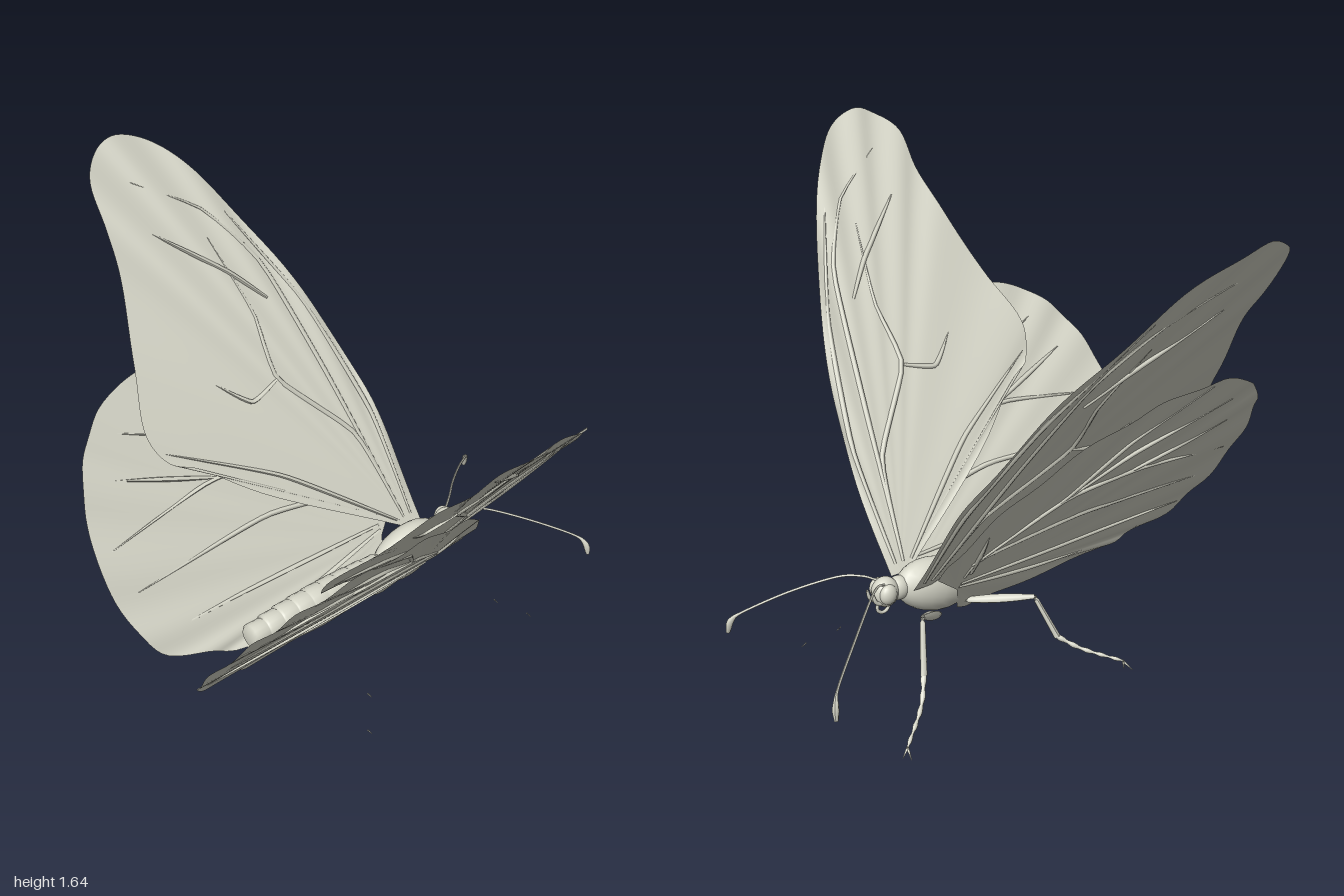
import * as THREE from 'three';

const shell = new THREE.MeshStandardMaterial({ color: 0xd8d8ca, side: THREE.DoubleSide });
shell.name = 'pale stone';

const vec = (p) => new THREE.Vector3(...p);

function add(parent, name, geometry) {
  const mesh = new THREE.Mesh(geometry, shell);
  mesh.name = name;
  parent.add(mesh);
  return mesh;
}

// Tube along a path whose radius follows radiusAt(t)
function taperedTube(points, radiusAt, steps = 20, sides = 6, tension = 0.5) {
  const curve = new THREE.CatmullRomCurve3(points.map(vec), false, 'catmullrom', tension);
  const g = new THREE.TubeGeometry(curve, steps, 1, sides);
  const pos = g.attributes.position, v = new THREE.Vector3();
  for (let i = 0; i <= steps; i++) {
    const c = curve.getPointAt(i / steps), r = radiusAt(i / steps);
    for (let j = 0; j <= sides; j++) {
      const k = i * (sides + 1) + j;
      v.fromBufferAttribute(pos, k).sub(c).multiplyScalar(r).add(c);
      pos.setXYZ(k, v.x, v.y, v.z);
    }
  }
  g.computeVertexNormals();
  return g;
}

function ellipsoid(parent, name, [x, y, z], [rx, ry, rz], tilt = 0) {
  const m = add(parent, name, new THREE.SphereGeometry(1, 20, 14));
  m.position.set(x, y, z);
  m.scale.set(rx, ry, rz);
  m.rotation.z = tilt;
  return m;
}

// Each wing has a flat outline (x, span), a root, and a rule placing it in space
const forewing = {
  name: 'forewing', root: [0.3, 0.03], pleats: 9,
  outline: [[0.34, 0.03], [0.34, 0.24], [0.31, 0.38], [0.24, 0.56], [0.14, 0.73], [0.03, 0.88],
    [-0.08, 0.97], [-0.19, 1.0], [-0.26, 0.985], [-0.33, 0.93], [-0.34, 0.83], [-0.37, 0.72],
    [-0.44, 0.56], [-0.5, 0.43], [-0.46, 0.36], [-0.38, 0.33], [-0.18, 0.22], [0.27, 0.03]],
  veins: [
    [[0.31, 0.05], [0.31, 0.28], [0.22, 0.55], [0.05, 0.82]],
    [[0.28, 0.05], [0.22, 0.25], [0.02, 0.42], [0.03, 0.56], [-0.02, 0.74]],
    [[0.28, 0.05], [0.2, 0.4], [0.13, 0.65], [0, 0.8], [-0.2, 0.9]],
    [[0.1, 0.58], [0, 0.66], [-0.22, 0.8]],
    [[0.02, 0.42], [-0.1, 0.4], [-0.2, 0.46]],
    [[0.25, 0.05], [-0.1, 0.24], [-0.46, 0.38]],
  ],
  place: (x, s) => {
    const z = 0.032 + 0.968 * s;
    return [x, (z - 0.068) * 1.341 + 0.025 * Math.sin(Math.PI * Math.min(1, Math.max(0, s))), z];
  },
};
const hindwing = {
  name: 'hindwing', root: [0.2, 0.33], pleats: 12,
  outline: [[0.14, 0.21], [0.05, 0.2], [-0.19, 0.225], [-0.47, 0.245], [-0.55, 0.275], [-0.71, 0.33],
    [-0.77, 0.43], [-0.8, 0.57], [-0.776, 0.73], [-0.73, 0.84], [-0.67, 0.915], [-0.58, 0.98],
    [-0.43, 1.02], [-0.25, 1.0], [-0.1, 0.95], [0.07, 0.84], [0.2, 0.7], [0.29, 0.54], [0.32, 0.43]],
  veins: [
    [[0.2, 0.39], [0.17, 0.47], [-0.19, 0.53], [-0.71, 0.505]],
    [[0.2, 0.45], [-0.06, 0.65], [-0.34, 0.68], [-0.74, 0.63]],
    [[-0.3, 0.68], [-0.36, 0.7], [-0.64, 0.79]],
    [[0.02, 0.6], [-0.06, 0.66], [-0.2, 0.85], [-0.43, 1.0]],
    [[-0.06, 0.65], [-0.25, 0.78], [-0.58, 0.9]],
    [[0.2, 0.36], [-0.38, 0.375], [-0.71, 0.375]],
    [[0.2, 0.345], [-0.1, 0.3], [-0.38, 0.275]],
    [[0.18, 0.4], [0.19, 0.5], [0.2, 0.58]],
  ],
  place: (x, s) => [x, s * 1.0185 - 0.369, 0.015 + (s - 0.21) * 0.707],
};

function buildWing(parent, wing, side) {
  const group = new THREE.Group();
  group.name = (side > 0 ? 'right ' : 'left ') + wing.name;
  parent.add(group);

  // Membrane: rows from the root out to the edge, with shallow pleats near the rim
  const edge = new THREE.CatmullRomCurve3(wing.outline.map(([x, s]) => new THREE.Vector3(x, s, 0)), false, 'centripetal');
  const n = 96, rows = 10, pos = [], index = [];
  for (let i = 0; i <= n; i++) {
    const e = edge.getPoint(i / n);
    for (let j = 0; j <= rows; j++) {
      const t = j / rows;
      const p = wing.place(wing.root[0] + (e.x - wing.root[0]) * t, wing.root[1] + (e.y - wing.root[1]) * t);
      const lift = 0.005 * t * t * Math.sin((i / n) * Math.PI * 2 * wing.pleats);
      pos.push(p[0], p[1] - lift * 0.6, (p[2] + lift * 0.8) * side);
      if (i < n && j < rows) {
        const a = i * (rows + 1) + j, b = a + rows + 1;
        index.push(a, b, b + 1, a, b + 1, a + 1);
      }
    }
  }
  const g = new THREE.BufferGeometry();
  g.setAttribute('position', new THREE.Float32BufferAttribute(pos, 3));
  g.setIndex(index);
  g.computeVertexNormals();
  add(group, 'wing membrane', g);

  // Veins
  for (const vein of wing.veins) {
    const path = vein.map(([x, s]) => {
      const p = wing.place(x, s);
      return [p[0], p[1], p[2] * side];
    });
    add(group, 'wing vein', taperedTube(path, (t) => 0.001 + 0.008 * Math.sin(Math.PI * (0.15 + 0.85 * t)), 24, 5, 0.25));
  }
}

function buildBody(parent) {
  ellipsoid(parent, 'thorax', [0.22, -0.045, 0], [0.145, 0.09, 0.072], 0.3);
  ellipsoid(parent, 'neck', [0.355, -0.015, 0], [0.04, 0.04, 0.035]);

  // Abdomen: overlapping rings
  const profile = [new THREE.Vector2(0, -0.45), new THREE.Vector2(0.034, -0.45)];
  const rings = 9;
  for (let i = 0; i < rings; i++) {
    const x0 = -0.44 + i * 0.06, r = 0.034 + 0.02 * Math.sin(Math.PI * (0.1 + 0.85 * i / rings));
    profile.push(new THREE.Vector2(r + 0.003, x0), new THREE.Vector2(r + 0.002, x0 + 0.05), new THREE.Vector2(r - 0.003, x0 + 0.056));
  }
  profile.push(new THREE.Vector2(0.025, 0.13));
  const abdomen = add(parent, 'abdomen', new THREE.LatheGeometry(profile, 18).rotateZ(-Math.PI / 2));
  abdomen.position.y = -0.045;

  // Head
  ellipsoid(parent, 'head', [0.405, -0.012, 0], [0.045, 0.05, 0.042]);
  const coil = add(parent, 'proboscis', new THREE.TorusGeometry(0.022, 0.006, 6, 18));
  coil.position.set(0.415, -0.06, 0);
  for (const side of [1, -1]) {
    ellipsoid(parent, 'eye', [0.412, -0.008, 0.03 * side], [0.03, 0.034, 0.022]);
    add(parent, 'palp', taperedTube([[0.42, -0.04, 0.015 * side], [0.45, -0.03, 0.017 * side], [0.462, 0.005, 0.015 * side]],
      (t) => 0.01 - 0.006 * t, 8));
    add(parent, 'antenna', taperedTube(
      [[0.42, 0.025, 0.02], [0.46, 0.042, 0.045], [0.52, 0.038, 0.095], [0.64, -0.015, 0.19], [0.76, -0.085, 0.28], [0.79, -0.12, 0.31], [0.798, -0.165, 0.322]]
        .map(([x, y, z]) => [x, y, z * side]),
      (t) => 0.004 + 0.007 * Math.exp(-(((t - 0.94) / 0.06) ** 2)), 40));
  }
}

function buildLeg(parent, name, [hip, knee, ankle, mid, foot]) {
  const leg = new THREE.Group();
  leg.name = name;
  parent.add(leg);
  add(leg, 'thigh', taperedTube([hip, knee], (t) => 0.008 + 0.008 * Math.sin(Math.PI * t), 10));
  add(leg, 'shin', taperedTube([knee, ankle], (t) => 0.008 + 0.003 * t, 8));
  add(leg, 'toe joints', taperedTube([ankle, mid, foot], (t) => 0.009 - 0.004 * t + 0.002 * Math.sin(t * 30), 24));
  // Claws
  const ahead = Math.sign(foot[0] - ankle[0]);
  for (const s of [1, -1]) {
    const tip = [foot[0] + 0.012 * ahead + 0.008 * s, 0.005, foot[2] - 0.015 + 0.012 * s];
    add(leg, 'claw', taperedTube([foot, tip], (t) => 0.005 - 0.004 * t, 4));
  }
}

export function createModel() {
  const model = new THREE.Group();
  model.name = 'butterfly';

  // Body and wings lean slightly to one side
  const upper = new THREE.Group();
  upper.name = 'body and wings';
  upper.position.set(0, 0.365, -0.031);
  upper.rotation.x = 0.025;
  model.add(upper);
  buildBody(upper);
  for (const side of [1, -1]) for (const wing of [forewing, hindwing]) buildWing(upper, wing, side);

  // Legs
  buildLeg(model, 'front leg', [[0.21, 0.21, -0.05], [0.37, 0.32, -0.185], [0.41, 0.155, -0.245], [0.46, 0.09, -0.3], [0.57, 0.035, -0.385]]);
  buildLeg(model, 'hind leg', [[0.12, 0.235, -0.06], [-0.06, 0.25, -0.2], [-0.11, 0.11, -0.26], [-0.17, 0.07, -0.32], [-0.265, 0.035, -0.41]]);

  // Tiny loose foot spurs on the other side
  for (const [x, y, z] of [[0.44, 0.115, 0.2], [0.53, 0.05, 0.275], [-0.17, 0.085, 0.24], [-0.25, 0.045, 0.335]]) {
    add(model, 'foot spur', taperedTube([[x - 0.005, y + 0.008, z - 0.005], [x + 0.005, y - 0.008, z + 0.005]], (t) => 0.003 - 0.002 * t, 2));
  }
  return model;
}
